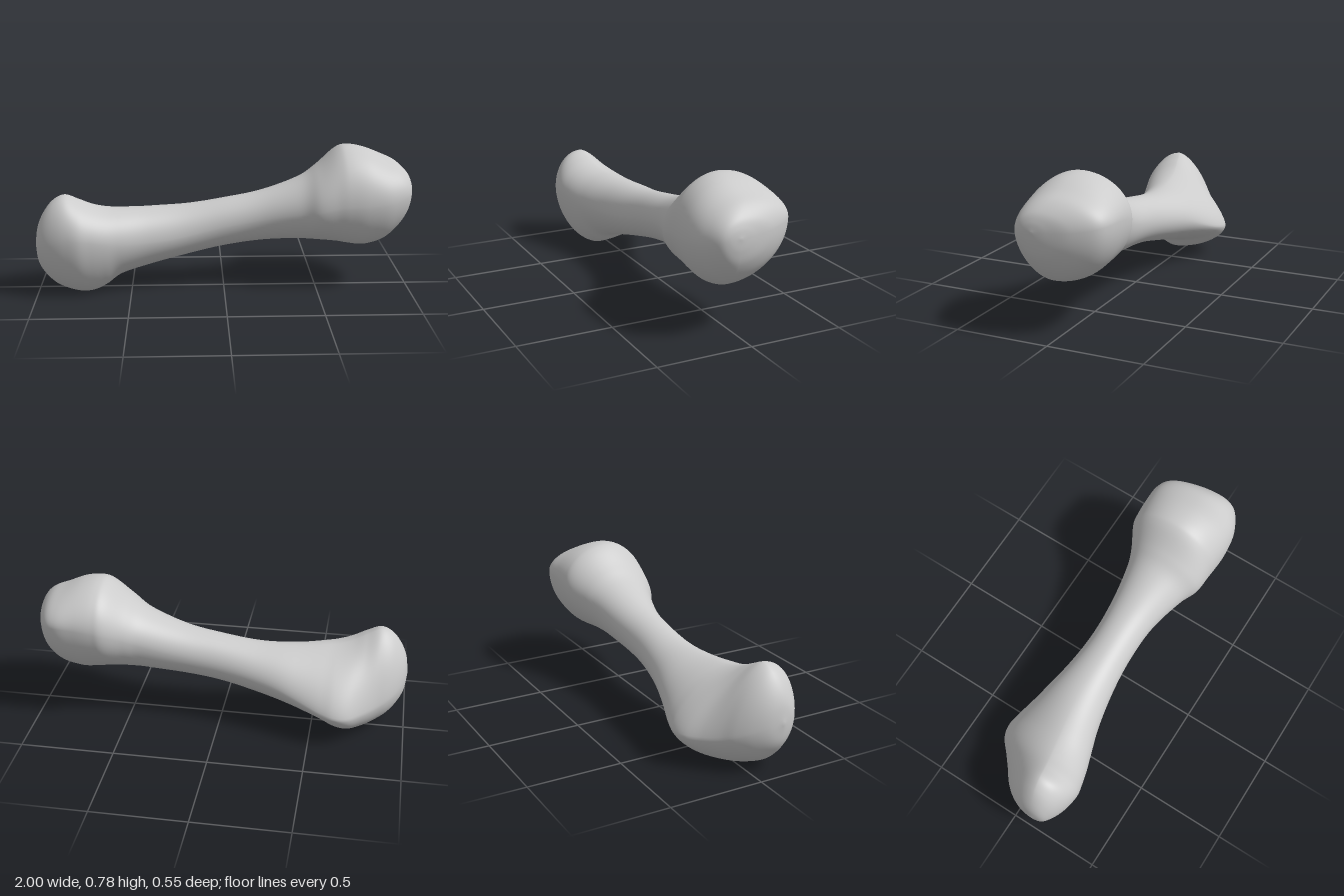
import * as THREE from 'three';
import { mergeVertices } from 'three/addons/utils/BufferGeometryUtils.js';

// Outline of the bone along its length: x, top y, bottom y, front z, back z
const outline = [
  [-1, 0.28, 0.28, 0.12, 0.12],
  [-0.985, 0.38, 0.18, 0.18, 0.04],
  [-0.95, 0.46, 0.115, 0.215, -0.03],
  [-0.9, 0.52, 0.06, 0.243, -0.09],
  [-0.84, 0.545, 0.025, 0.262, -0.14],
  [-0.77, 0.517, 0.003, 0.27, -0.2],
  [-0.7, 0.485, 0.004, 0.255, -0.26],
  [-0.63, 0.466, 0.035, 0.235, -0.278],
  [-0.55, 0.458, 0.09, 0.208, -0.262],
  [-0.4, 0.453, 0.135, 0.16, -0.215],
  [-0.2, 0.46, 0.185, 0.122, -0.165],
  [0, 0.49, 0.23, 0.108, -0.14],
  [0.2, 0.53, 0.258, 0.12, -0.145],
  [0.4, 0.602, 0.27, 0.175, -0.172],
  [0.5, 0.67, 0.27, 0.222, -0.205],
  [0.6, 0.757, 0.265, 0.234, -0.258],
  [0.66, 0.777, 0.255, 0.24, -0.267],
  [0.75, 0.763, 0.246, 0.243, -0.27],
  [0.85, 0.722, 0.275, 0.232, -0.265],
  [0.92, 0.69, 0.335, 0.205, -0.225],
  [0.97, 0.645, 0.41, 0.17, -0.12],
  [0.992, 0.6, 0.48, 0.13, -0.01],
  [1, 0.55, 0.55, 0.07, 0.07],
];

// Where the four ridges run: x, front y, top z, back y, bottom z,
// then the flatness of the top-back and back-bottom sides (1 = round)
const ridges = [
  [-1, 0.28, 0.12, 0.28, 0.12, 1, 1],
  [-0.93, 0.31, 0.11, 0.23, 0.1, 1.2, 1.1],
  [-0.8, 0.33, 0.09, 0.18, 0.07, 1.4, 1.15],
  [-0.6, 0.3, 0.05, 0.19, 0.04, 1.35, 1.15],
  [-0.3, 0.3, 0, 0.29, 0.01, 1.1, 1],
  [0, 0.36, -0.01, 0.36, 0, 1, 1],
  [0.3, 0.42, -0.01, 0.43, 0, 1, 1],
  [0.45, 0.45, -0.01, 0.48, 0.02, 1, 1],
  [0.6, 0.49, -0.01, 0.55, 0.05, 1, 1],
  [0.75, 0.5, 0, 0.58, 0.05, 1, 1],
  [0.9, 0.52, 0, 0.58, 0.05, 1, 1],
  [1, 0.55, 0.07, 0.55, 0.07, 1, 1],
];

// Smooth curve through the rows of a table
function smooth(times, rows) {
  const curve = new THREE.CubicInterpolant(times, rows.flat(), rows[0].length);
  return (t) => Array.from(curve.evaluate(t));
}

function boneGeometry(rings = 176, sides = 72) {
  const outlineAt = smooth(outline.map((r, i) => i), outline);
  const ridgeAt = smooth(ridges.map((r) => r[0]), ridges);
  const positions = [], index = [];

  for (let i = 0; i <= rings; i++) {
    const [x, top, bottom, front, back] = outlineAt((i / rings) * (outline.length - 1));
    const [, frontY, topZ, backY, bottomZ, flatTop, flatBottom] =
      ridgeAt(THREE.MathUtils.clamp(x, -1, 1));
    for (let j = 0; j < sides; j++) {
      const a = (j / sides) * Math.PI * 2, c = Math.cos(a), s = Math.sin(a);
      // each quarter is an arc between two neighbouring ridges
      const upper = s >= 0, forward = c >= 0;
      const k = forward ? (upper ? 1 : 1.1) : (upper ? flatTop : flatBottom);
      const sideY = forward ? frontY : backY, sideZ = forward ? front : back;
      const poleY = upper ? top : bottom, poleZ = upper ? topZ : bottomZ;
      positions.push(
        x,
        sideY + (poleY - sideY) * Math.abs(s) ** k,
        poleZ + (sideZ - poleZ) * Math.abs(c) ** k,
      );
      if (i < rings) {
        const n = (j + 1) % sides, p = i * sides, q = p + sides;
        index.push(p + j, q + j, p + n, q + j, q + n, p + n);
      }
    }
  }
  const geometry = new THREE.BufferGeometry();
  geometry.setAttribute('position', new THREE.Float32BufferAttribute(positions, 3));
  geometry.setIndex(index);
  // join the end points so both tips shade smoothly
  const joined = mergeVertices(geometry, 1e-5);
  joined.computeVertexNormals();
  return joined;
}

export function createModel() {
  const group = new THREE.Group();
  group.name = 'bone';
  // shaft with both knobbed ends in one continuous surface
  const bone = new THREE.Mesh(
    boneGeometry(),
    new THREE.MeshStandardMaterial({ color: 0xcccccc }),
  );
  bone.name = 'boneShaftAndEnds';
  group.add(bone);
  return group;
}
